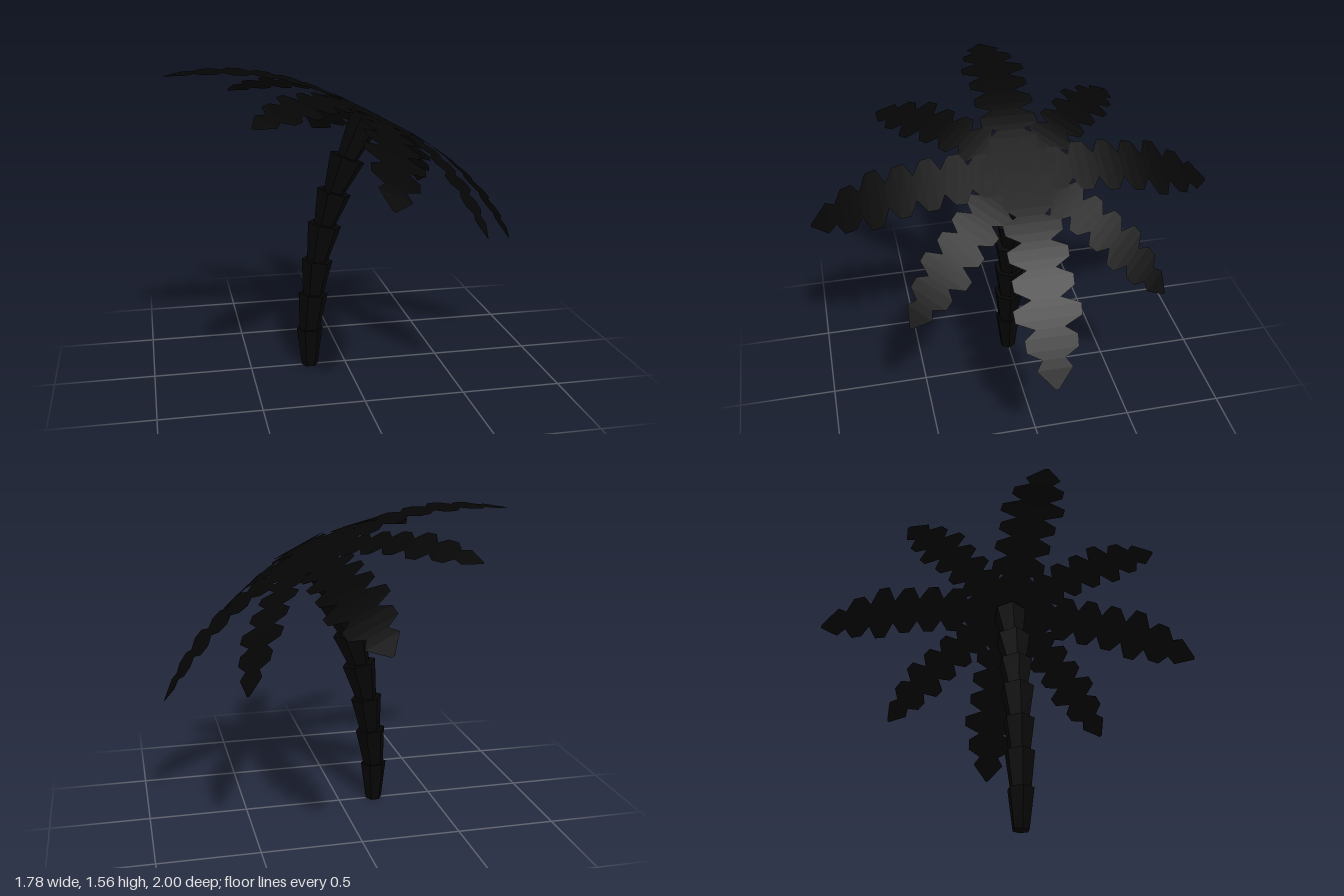
import * as THREE from 'three';

const black = new THREE.MeshStandardMaterial({ color: 0x050505, flatShading: true, side: THREE.DoubleSide });
black.name = 'matte black';

// Trunk: flared six-sided segments stacked along a leaning curve: [x, y, top radius]
const rings = [
  [-0.19, 0, 0.042], [-0.188, 0.205, 0.068], [-0.168, 0.395, 0.077], [-0.145, 0.575, 0.081],
  [-0.105, 0.765, 0.088], [-0.055, 0.935, 0.09], [0.015, 1.11, 0.094], [0.115, 1.32, 0.09],
];

function makeTrunk() {
  const trunk = new THREE.Group();
  trunk.name = 'trunk';
  for (let i = 1; i < rings.length; i++) {
    const a = new THREE.Vector3(rings[i - 1][0], rings[i - 1][1], 0);
    const b = new THREE.Vector3(rings[i][0], rings[i][1], 0);
    const dir = b.clone().sub(a);
    const length = dir.length() + (i > 1 ? 0.015 : 0);
    const geo = new THREE.CylinderGeometry(rings[i][2], i === 1 ? 0.042 : 0.052, length, 6);
    geo.rotateY(Math.PI / 2); // corners face along x
    geo.translate(0, -length / 2, 0);
    const segment = new THREE.Mesh(geo, black);
    segment.name = 'trunkSegment' + i;
    segment.position.copy(b);
    segment.quaternion.setFromUnitVectors(new THREE.Vector3(0, 1, 0), dir.normalize());
    trunk.add(segment);
  }
  return trunk;
}

// Frond: a drooping flat blade with a toothed outline
function makeFrond(reach, widthScale, droop) {
  const outline = [[0, 0.05]];
  const teeth = [[0.17, 0.12], [0.3, 0.14], [0.43, 0.145], [0.56, 0.145], [0.69, 0.16], [0.815, 0.125]];
  for (const [r, w] of teeth) {
    outline.push([r - 0.058, 0.07], [r - 0.022, w], [r + 0.03, w * 0.98]);
  }
  outline.push([0.88, 0.055], [0.92, 0.085], [1, 0.008]);

  const positions = [];
  const index = [];
  outline.forEach(([r, w], i) => {
    const y = -droop * Math.pow(Math.max(0, (r - 0.2) / 0.8), 2.05);
    positions.push(r * reach, y, -w * widthScale, r * reach, y, w * widthScale);
    if (i > 0) {
      const k = i * 2;
      index.push(k - 2, k - 1, k, k, k - 1, k + 1);
    }
  });
  const geo = new THREE.BufferGeometry();
  geo.setAttribute('position', new THREE.Float32BufferAttribute(positions, 3));
  geo.setIndex(index);
  geo.computeVertexNormals();
  return new THREE.Mesh(geo, black);
}

export function createModel() {
  const palm = new THREE.Group();
  palm.name = 'palmTree';
  palm.add(makeTrunk());

  // Crown: eight fronds on a tilted ring, the diagonal ones shorter
  const crown = new THREE.Group();
  crown.name = 'crown';
  crown.position.set(0.13, 1.33, 0);
  crown.rotation.z = -THREE.MathUtils.degToRad(27);
  for (let i = 0; i < 8; i++) {
    const frond = i % 2 ? makeFrond(0.863, 0.82, 0.255) : makeFrond(1, 1, 0.273);
    frond.name = 'frond' + (i + 1);
    frond.rotation.y = (i * Math.PI) / 4;
    crown.add(frond);
  }
  palm.add(crown);
  return palm;
}
